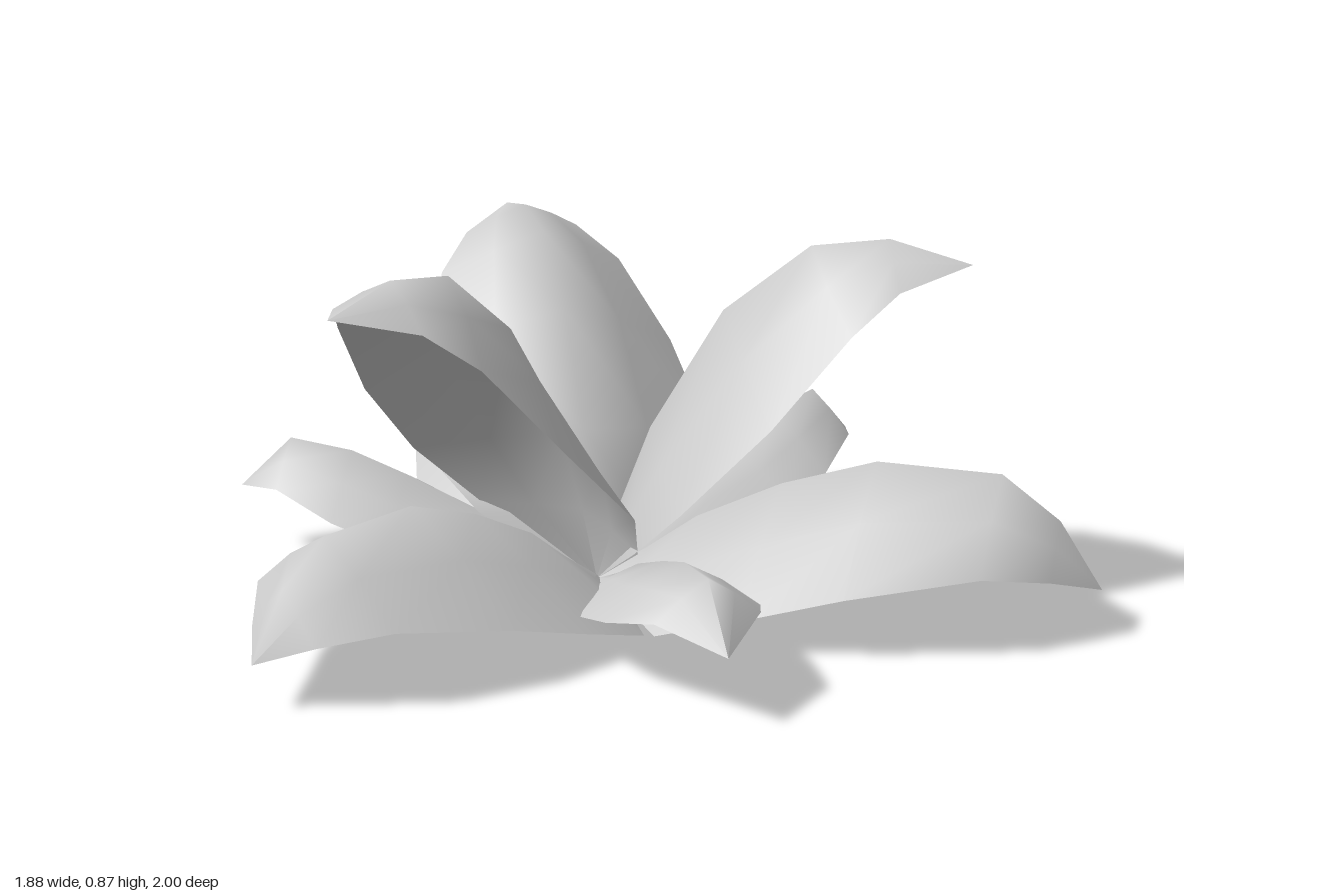
import * as THREE from 'three';

const BASE = { x: 0.05, z: 0.1 };
const COLUMNS = [-1, -0.5, 0, 0.5, 1];

// Each petal profile runs from base to tip:
// [edge distance, half width, edge height, rib distance, rib height]
const UPPER = [
  [0, 0, 0, 0, 0],
  [0.13, 0.25, 0.14, 0.05, 0.16],
  [0.25, 0.352, 0.26, 0.12, 0.33],
  [0.435, 0.312, 0.43, 0.28, 0.58],
  [0.59, 0.225, 0.6, 0.47, 0.72],
  [0.68, 0.14, 0.67, 0.64, 0.742],
  [0.82, 0, 0.7, 0.82, 0.7],
];
const LOWER = [
  [0, 0, 0.01, 0, 0.01],
  [0.12, 0.19, 0.02, 0.12, 0.09],
  [0.24, 0.35, 0.02, 0.24, 0.18],
  [0.44, 0.35, 0.08, 0.44, 0.28],
  [0.66, 0.315, 0.14, 0.66, 0.355],
  [0.945, 0.22, 0.185, 0.945, 0.355],
  [1.08, 0.1, 0.15, 1.08, 0.26],
  [1.18, 0, 0.11, 1.18, 0.11],
];
const SMALL = [
  [0, 0, 0, 0, 0],
  [0.15, 0.05, 0.045, 0.15, 0.07],
  [0.3, 0.12, 0.075, 0.3, 0.15],
  [0.47, 0.19, 0.11, 0.47, 0.22],
  [0.61, 0.178, 0.15, 0.61, 0.27],
  [0.765, 0.12, 0.2, 0.765, 0.29],
  [0.895, 0, 0.16, 0.895, 0.16],
];

// Arched sheet lofted through the profile, pointing from the base to the tip
function petalGeometry(profile, tipX, tipZ, yScale) {
  const dx = tipX - BASE.x, dz = tipZ - BASE.z;
  const length = Math.hypot(dx, dz);
  const fx = dx / length, fz = dz / length;
  const stretch = length / profile[profile.length - 1][0];
  const positions = [], indices = [];
  const n = COLUMNS.length;

  profile.forEach(([edgeD, halfWidth, edgeY, ribD, ribY], i) => {
    COLUMNS.forEach((s, j) => {
      const t = Math.abs(s) ** 1.25;
      const d = THREE.MathUtils.lerp(ribD, edgeD, t) * stretch;
      const y = THREE.MathUtils.lerp(ribY, edgeY, t) * yScale;
      const w = s * halfWidth;
      positions.push(BASE.x + fx * d - fz * w, y, BASE.z + fz * d + fx * w);
      if (i === 0 || j === 0) return;
      // base and tip rows close to a point, so they need one triangle per cell
      const c = i * n + j, a = c - n;
      if (i > 1) indices.push(a - 1, a, c - 1);
      if (i < profile.length - 1) indices.push(a, c, c - 1);
    });
  });

  const geometry = new THREE.BufferGeometry();
  geometry.setAttribute('position', new THREE.Float32BufferAttribute(positions, 3));
  geometry.setIndex(indices);
  geometry.computeVertexNormals();
  return geometry;
}

export function createModel() {
  const group = new THREE.Group();
  group.name = 'flower';
  const material = new THREE.MeshStandardMaterial({ color: 0xcccccc, side: THREE.DoubleSide });

  // Three rings of petals: [tip x, tip z, height scale]
  const rings = [
    ['upperPetal', UPPER, [[0.17, -0.72, 1], [-0.72, 0.42, 1.17], [0.74, 0.6, 1.17]]],
    ['lowerPetal', LOWER, [[0.26, -1, 1], [-0.94, 0.51, 0.96], [0.94, 0.88, 1.02]]],
    ['smallPetal', SMALL, [[-0.055, 1, 1], [-0.645, -0.43, 1], [0.885, -0.23, 1]]],
  ];
  for (const [name, profile, petals] of rings) {
    petals.forEach(([x, z, yScale], k) => {
      const mesh = new THREE.Mesh(petalGeometry(profile, x, z, yScale), material);
      mesh.name = name + (k + 1);
      group.add(mesh);
    });
  }
  return group;
}
